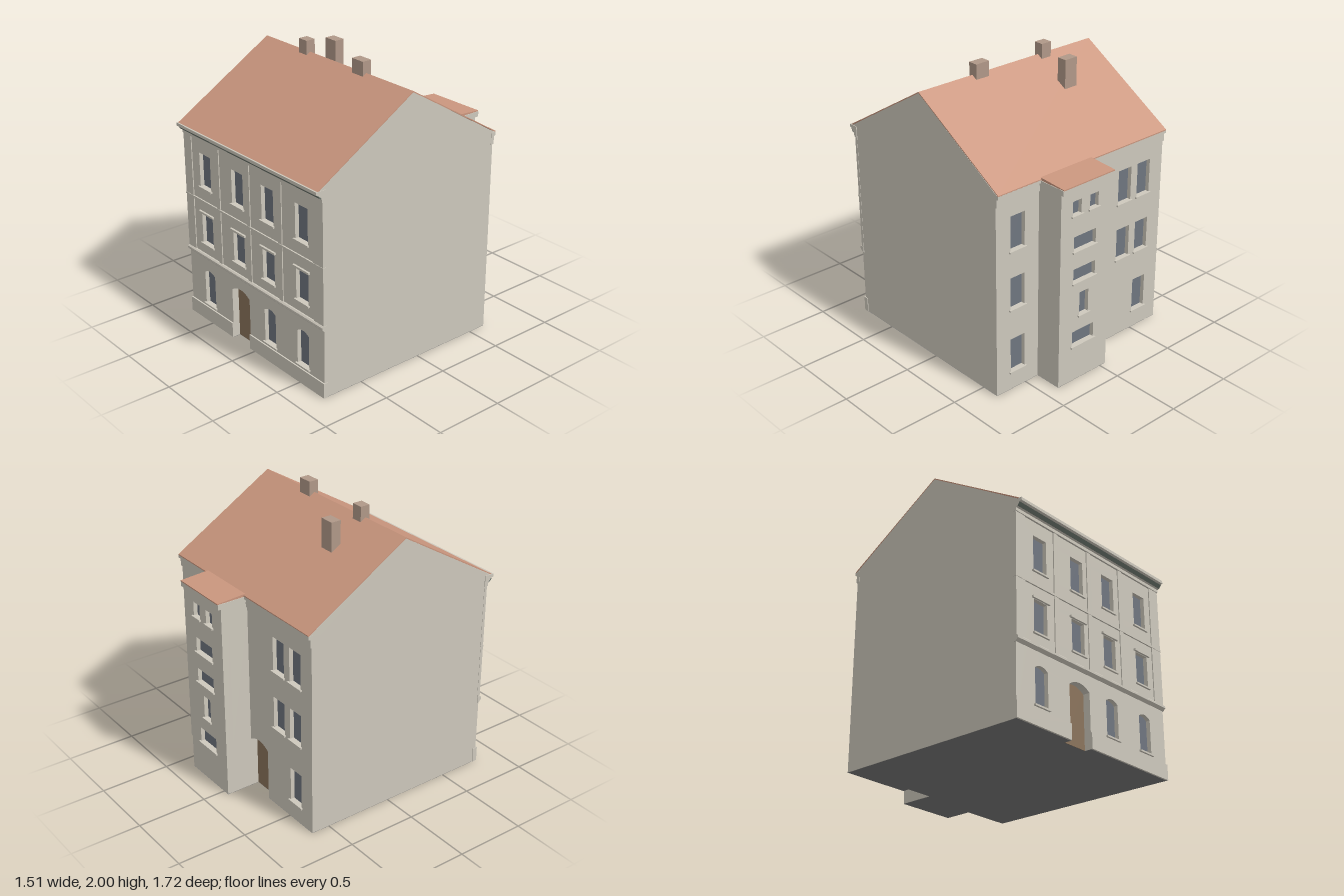
import * as THREE from 'three';

const mat = (name, color, side = THREE.FrontSide) => {
  const m = new THREE.MeshStandardMaterial({ color, side });
  m.name = name;
  return m;
};

export function createModel() {
  const house = new THREE.Group();
  house.name = 'townHouse';
  const plaster = mat('plaster', 0xcdc8bc);
  const tile = mat('roofTile', 0xca967e);
  const glass = mat('windowGlass', 0x6f757f);
  const wood = mat('doorWood', 0x8a735b);
  const brick = mat('chimneyBrick', 0xb09888);
  const gutter = mat('gutter', 0x6c756d);
  const floorGrey = mat('floorGrey', 0x777777, THREE.DoubleSide);

  const add = (name, geo, material, x = 0, y = 0, z = 0) => {
    const mesh = new THREE.Mesh(geo, material);
    mesh.name = name;
    mesh.position.set(x, y, z);
    house.add(mesh);
    return mesh;
  };
  // Box given by its limits on each axis
  const box = (name, material, x0, x1, y0, y1, z0, z1) =>
    add(name, new THREE.BoxGeometry(x1 - x0, y1 - y0, z1 - z0), material,
      (x0 + x1) / 2, (y0 + y1) / 2, (z0 + z1) / 2);
  // A (z, y) profile extruded along x
  const prism = (name, material, profile, x0, x1) => {
    const shape = new THREE.Shape(profile.map(([z, y]) => new THREE.Vector2(z, y)));
    const geo = new THREE.ExtrudeGeometry(shape, { depth: x1 - x0, bevelEnabled: false });
    geo.rotateY(-Math.PI / 2);
    return add(name, geo, material, x1);
  };

  const T = 0.06; // wall thickness
  const win = (x, y0, y1, w = 0.126, rise = 0) => ({ x, y0, y1, w, rise });

  // Wall with window holes and door notches; out is +1 for the front, -1 for the back
  function wall(name, x0, x1, top, z, out, windows, doors = []) {
    const s = new THREE.Shape();
    s.moveTo(x0, 0.002);
    for (const d of doors) {
      const a = d.x - d.w / 2, b = d.x + d.w / 2, spring = d.y1 - d.rise;
      s.lineTo(a, 0.002);
      s.lineTo(a, spring);
      s.quadraticCurveTo(d.x, d.y1 + d.rise, b, spring);
      s.lineTo(b, 0.002);
    }
    s.lineTo(x1, 0.002);
    s.lineTo(x1, top);
    s.lineTo(x0, top);
    for (const o of windows) {
      const a = o.x - o.w / 2, b = o.x + o.w / 2, spring = o.y1 - o.rise;
      const h = new THREE.Path();
      h.moveTo(a, o.y0);
      h.lineTo(a, spring);
      if (o.rise) h.quadraticCurveTo(o.x, o.y1 + o.rise, b, spring);
      else h.lineTo(b, spring);
      h.lineTo(b, o.y0);
      s.holes.push(h);
    }
    const geo = new THREE.ExtrudeGeometry(s, { depth: T, bevelEnabled: false, curveSegments: 8 });
    add(name, geo, plaster, 0, 0, out > 0 ? z - T : z);

    // Panes and leaves sit inside the wall thickness
    const pane = (label, o, material, depth) => {
      const zc = z - out * depth;
      box(label, material, o.x - o.w / 2 - 0.003, o.x + o.w / 2 + 0.003,
        Math.max(o.y0 - 0.003, 0.002), o.y1 + 0.003, zc - 0.004, zc + 0.004);
    };
    for (const o of windows) {
      pane('windowPane', o, glass, 0.034);
      const za = z - out * 0.028, zb = z + out * 0.014;
      box('windowSill', plaster, o.x - o.w / 2 - 0.012, o.x + o.w / 2 + 0.012,
        o.y0 - 0.007, o.y0 + 0.005, Math.min(za, zb), Math.max(za, zb));
    }
    for (const d of doors) pane('door', d, wood, 0.054);
  }

  // Street facade
  const columns = [-0.517, -0.148, 0.18, 0.532];
  const door = { x: -0.15, w: 0.2, y0: 0, y1: 0.41, rise: 0.035 };
  const front = [];
  for (const x of columns) {
    front.push(win(x, 1.03, 1.28), win(x, 0.605, 0.835));
    if (x !== columns[1]) front.push(win(x, 0.133, 0.4, 0.12, 0.022));
    box('windowHood', plaster, x - 0.082, x + 0.082, 0.837, 0.851, 0.79, 0.82);
  }
  const F = 0.805, B = -0.635, A = -0.835;
  wall('frontWall', -0.75, 0.75, 1.42, F, 1, front, [door]);

  // Rear wall and stair tower
  const rear = [];
  for (const x of [-0.572, -0.392, 0.57])
    rear.push(win(x, 1.03, 1.28, 0.12), win(x, 0.605, 0.84, 0.12));
  for (const x of [-0.572, 0.57]) rear.push(win(x, 0.133, 0.385, 0.12));
  wall('rearWall', -0.75, 0.75, 1.45, B, -1, rear, [door]);
  wall('towerRearWall', -0.05, 0.39, 1.45, A, -1, [
    win(0.25, 1.235, 1.34, 0.075), win(0.1, 1.235, 1.34, 0.075),
    win(0.175, 0.975, 1.085, 0.195), win(0.175, 0.745, 0.85, 0.195),
    win(0.172, 0.485, 0.66, 0.08), win(0.175, 0.265, 0.38, 0.195),
  ]);
  for (const x of [-0.05, 0.34])
    box('towerSideWall', plaster, x, x + 0.05, 0.002, 1.45, A + 0.002, B + 0.02);

  // Gable walls
  const gable = [[-0.633, 0.002], [0.803, 0.002], [0.803, 1.38], [0.84, 1.455],
    [0.09, 1.913], [-0.65, 1.463], [-0.633, 1.4]];
  for (const x of [-0.75, 0.71]) prism('gableWall', plaster, gable, x, x + 0.04);

  // Roofs
  prism('mainRoof', tile, [[0.85, 1.459], [0.09, 1.919], [-0.66, 1.469],
    [-0.66, 1.461], [0.09, 1.911], [0.85, 1.451]], -0.75, 0.75);
  prism('towerRoof', tile, [[-0.62, 1.478], [-0.65, 1.476], [-0.86, 1.463],
    [-0.86, 1.455], [-0.62, 1.455]], -0.052, 0.392);

  // Cornices
  prism('frontCornice', plaster, [[0.79, 1.38], [0.818, 1.38], [0.818, 1.402],
    [0.83, 1.408], [0.845, 1.432], [0.862, 1.438], [0.862, 1.459], [0.79, 1.459]], -0.755, 0.755);
  prism('corniceBand', gutter, [[0.819, 1.408], [0.832, 1.408], [0.849, 1.43],
    [0.84, 1.432]], -0.755, 0.755);
  for (const [x0, x1] of [[-0.752, -0.045], [0.385, 0.752]])
    prism('rearCornice', plaster, [[-0.62, 1.38], [-0.645, 1.38], [-0.645, 1.435],
      [-0.66, 1.442], [-0.66, 1.463], [-0.62, 1.463]].reverse(), x0, x1);
  box('towerCornice', plaster, -0.056, 0.396, 1.42, 1.457, -0.858, -0.62);

  // Facade mouldings: string course, thin band, pilaster strips, plinth
  prism('stringCourse', plaster, [[0.79, 0.485], [0.808, 0.49], [0.825, 0.508],
    [0.825, 0.522], [0.815, 0.53], [0.79, 0.53]], -0.755, 0.755);
  box('middleBand', plaster, -0.755, 0.755, 0.925, 0.938, 0.79, 0.815);
  for (const [x0, x1] of [[-0.752, -0.665], [-0.385, -0.345], [-0.045, -0.005],
    [0.295, 0.335], [0.655, 0.752]])
    box('pilasterStrip', plaster, x0, x1, 0.53, 1.38, 0.79, 0.812);
  for (const [x0, x1] of [[-0.755, -0.25], [-0.05, 0.755]])
    box('plinth', plaster, x0, x1, 0.002, 0.11, 0.78, 0.815);

  // Underside with door recesses
  const plan = [[-0.75, F], [-0.25, F], [-0.25, F - 0.05], [-0.05, F - 0.05], [-0.05, F],
    [0.75, F], [0.75, B], [0.39, B], [0.39, A], [-0.05, A], [-0.05, B + 0.05],
    [-0.25, B + 0.05], [-0.25, B], [-0.75, B]];
  const floor = new THREE.ShapeGeometry(
    new THREE.Shape(plan.map(([x, z]) => new THREE.Vector2(x, z))));
  floor.rotateX(Math.PI / 2);
  add('floor', floor, floorGrey);

  // Chimneys
  for (const [x0, x1, y0, y1, z0, z1] of [
    [-0.35, -0.268, 1.86, 2, 0.05, 0.12],
    [0.2, 0.308, 1.86, 2, 0.05, 0.12],
    [-0.36, -0.256, 1.72, 1.955, -0.19, -0.118],
  ]) box('chimney', brick, x0, x1, y0, y1, z0, z1);

  return house;
}
